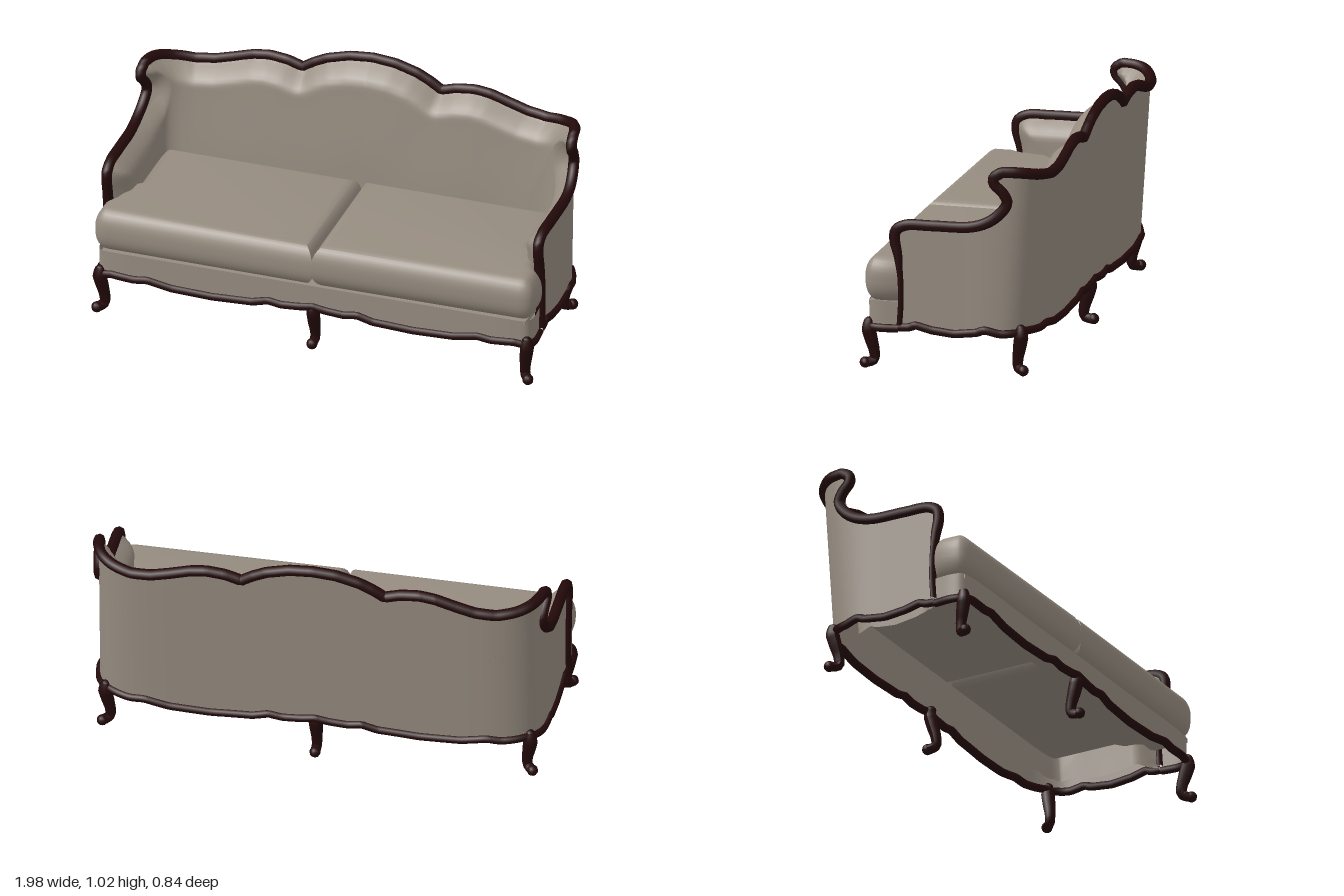
import * as THREE from 'three';
import { toCreasedNormals } from 'three/addons/utils/BufferGeometryUtils.js';

const V3 = (x, y, z) => new THREE.Vector3(x, y, z);
const smooth = (t) => THREE.MathUtils.smoothstep(t, 0, 1);

// Linear lookup in a table of [key, value] pairs
function lookup(table, k) {
  if (k <= table[0][0]) return table[0][1];
  for (let i = 1; i < table.length; i++) {
    const [a, va] = table[i - 1], [b, vb] = table[i];
    if (k <= b) return va + (vb - va) * (k - a) / (b - a);
  }
  return table[table.length - 1][1];
}

// Floor-plan path: at(L, y, inset) gives a point at distance L along it, leaning back with height
function planPath(pts) {
  const curve = new THREE.CatmullRomCurve3(pts.map(([x, z]) => V3(x, 0, z)), false, 'centripetal');
  curve.arcLengthDivisions = 500;
  const len = curve.getLength();
  const at = (L, y, inset = 0) => {
    const u = THREE.MathUtils.clamp(L / len, 0, 1);
    const p = curve.getPointAt(u), t = curve.getTangentAt(u);
    const lean = 0.066 * (y - 0.2) * smooth((-p.z - 0.08) / 0.2);
    return V3(p.x + t.z * inset, y, p.z - t.x * inset - lean);
  };
  return { len, at };
}

// Grid surface from fn(i, j); flip reverses the facing, side mirrors x
function grid(nu, nv, fn, flip, side) {
  const pos = [], idx = [];
  for (let j = 0; j <= nv; j++) for (let i = 0; i <= nu; i++) {
    const p = fn(i, j);
    pos.push(p.x * side, p.y, p.z);
  }
  const reverse = flip !== (side < 0);
  for (let j = 0; j < nv; j++) for (let i = 0; i < nu; i++) {
    const a = j * (nu + 1) + i, b = a + 1, c = a + nu + 1, d = c + 1;
    if (reverse) idx.push(a, c, b, b, c, d);
    else idx.push(a, b, c, b, d, c);
  }
  const g = new THREE.BufferGeometry();
  g.setAttribute('position', new THREE.Float32BufferAttribute(pos, 3));
  g.setIndex(idx);
  g.computeVertexNormals();
  return g;
}

// Tube through half a path, mirrored to the other side; the half must end at x = 0
function mirroredTube(half, radius, segments) {
  const other = half.slice(0, -1).reverse().map((p) => V3(-p.x, p.y, p.z));
  return new THREE.TubeGeometry(new THREE.CatmullRomCurve3([...half, ...other]), segments, radius, 8);
}

// Tube whose rings are scaled to the given radii
function taperedTube(points, radii) {
  const curve = new THREE.CatmullRomCurve3(points), n = 20, sides = 8;
  const g = new THREE.TubeGeometry(curve, n, 1, sides);
  const pos = g.attributes.position, v = V3();
  for (let i = 0; i <= n; i++) {
    const c = curve.getPointAt(i / n);
    const r = lookup(radii.map((q, k) => [k / (radii.length - 1), q]), i / n);
    for (let k = 0; k <= sides; k++) {
      const m = i * (sides + 1) + k;
      v.fromBufferAttribute(pos, m).sub(c).multiplyScalar(r).add(c);
      pos.setXYZ(m, v.x, v.y, v.z);
    }
  }
  g.computeVertexNormals();
  return g;
}

export function createModel() {
  const model = new THREE.Group();
  const fabric = new THREE.MeshStandardMaterial({ color: 0x968c80, side: THREE.DoubleSide });
  fabric.name = 'beige fabric';
  const wood = new THREE.MeshStandardMaterial({ color: 0x24090a });
  wood.name = 'dark wood';
  const add = (name, geometry, material) => {
    const mesh = new THREE.Mesh(geometry, material);
    mesh.name = name;
    model.add(mesh);
    return mesh;
  };

  // Plan of the shell: left arm, rounded corner, centre of the back
  const shell = planPath([[0.967, 0.3], [0.967, 0], [0.965, -0.16], [0.942, -0.24], [0.885, -0.296],
    [0.78, -0.332], [0.3, -0.34], [0, -0.344]]);
  // Plan of the seat front: centre to the left side
  const front = planPath([[0, 0.39], [0.4, 0.387], [0.9, 0.385], [0.958, 0.372], [0.972, 0.33], [0.967, 0.245]]);

  // Crest height and scalloped lower edge
  const crest = [[0, 0.992], [0.1, 0.984], [0.2, 0.957], [0.26, 0.928], [0.31, 0.897], [0.38, 0.918], [0.46, 0.926],
    [0.53, 0.917], [0.62, 0.89], [0.7, 0.868], [0.79, 0.86], [0.88, 0.874], [0.95, 0.893]];
  const scallop = [[0, 0.2], [0.06, 0.19], [0.14, 0.184], [0.2, 0.193], [0.27, 0.174], [0.45, 0.165],
    [0.63, 0.172], [0.74, 0.192], [0.8, 0.184], [0.9, 0.19], [0.95, 0.182], [0.97, 0.18]];
  const sideScallop = [[0.05, 0.186], [0.1, 0.188], [0.13, 0.2], [0.2, 0.183], [0.3, 0.173],
    [0.4, 0.186], [0.43, 0.2], [0.5, 0.183], [0.6, 0.186]];
  const top = (L) => lookup(crest, shell.at(L, 0.2).x);
  const bottom = (L) => (L < 0.6 ? lookup(sideScallop, L) : lookup(scallop, shell.at(L, 0.2).x));

  // Front edge of arm and wing, as (distance along plan, height)
  const edge = new THREE.CatmullRomCurve3([[0.06, 0.2], [0.066, 0.3], [0.064, 0.4], [0.052, 0.5], [0.038, 0.57],
    [0.044, 0.61], [0.085, 0.635], [0.2, 0.64], [0.37, 0.646], [0.435, 0.668], [0.48, 0.708], [0.505, 0.76],
    [0.488, 0.805], [0.46, 0.84], [0.458, 0.868], [0.485, 0.893]].map(([l, y]) => V3(l, y, 0)), false, 'centripetal');
  const rows = edge.getSpacedPoints(70);
  const rim = rows.slice();
  for (let i = 1; i <= 80; i++) {
    const L = 0.485 + (shell.len - 0.485) * i / 80;
    rim.push(V3(L, top(L), 0));
  }

  // Upholstered shell: outer wall, and an inner face padded away from the rim
  const columns = 80;
  const shellPoint = (padded) => (i, j) => {
    const { x: start, y: Y } = rows[j], s = i / columns;
    const L = 0.06 + (shell.len - 0.06) * s + (start - 0.06) * Math.pow(1 - s, 2.5);
    const y = Y + (top(L) - 0.893) * smooth((Y - 0.64) / 0.253)
      + (bottom(L) - 0.2) * (1 - smooth((Y - 0.2) / 0.12));
    if (!padded) return shell.at(L, y);
    let d = 1;
    for (const r of rim) d = Math.min(d, Math.hypot(r.x - L, r.y - y));
    const depth = 0.08 + 0.015 * smooth((L - 0.5) / 0.3);
    const pad = depth * Math.sin(Math.min(1, d / 0.09) * Math.PI / 2) + 0.02 * smooth(d / 0.45);
    return shell.at(L, y, pad);
  };
  for (const side of [1, -1]) {
    const name = side > 0 ? 'left' : 'right';
    add(name + 'OuterUpholstery', grid(columns, 70, shellPoint(false), false, side), fabric);
    add(name + 'InnerUpholstery', grid(columns, 70, shellPoint(true), true, side), fabric);
    // Seat front panel
    add(name + 'SeatFront', grid(90, 4, (i, j) => {
      const L = front.len * i / 90;
      const low = lookup(scallop, front.at(L, 0.2).x);
      return front.at(L, low + (0.295 - low) * j / 4);
    }, false, side), fabric);
  }
  const shelf = add('seatRail', new THREE.BoxGeometry(1.9, 0.02, 0.17), fabric);
  shelf.position.set(0, 0.283, 0.295);

  // Carved rail around arms, wings and crest, slimmer down the arm fronts
  const rail = mirroredTube(rim.map((p) => shell.at(p.x, p.y)), 0.024, 340);
  const rp = rail.attributes.position;
  for (let i = 0; i < rp.count; i++) {
    const y = rp.getY(i), z = rp.getZ(i);
    if (z < 0.15 || y > 0.57) continue;
    const mid = lookup([[0.2, 0.24], [0.3, 0.234], [0.4, 0.236], [0.5, 0.248], [0.57, 0.262]], y);
    const slim = 0.5 + 0.5 * smooth((y - 0.4) / 0.17);
    rp.setZ(i, mid + (z - mid) * slim);
  }
  add('carvedRail', rail, wood);

  // Scalloped lower trim
  const backTrim = [], frontTrim = [];
  for (let i = 0; i <= 80; i++) {
    const L = 0.055 + (shell.len - 0.055) * i / 80;
    backTrim.push(shell.at(L, bottom(L)));
    const p = front.at(front.len * (1 - i / 80), 0.2);
    p.y = lookup(scallop, p.x);
    frontTrim.push(p);
  }
  add('lowerTrimBack', mirroredTube(backTrim, 0.018, 240), wood);
  add('lowerTrimFront', mirroredTube(frontTrim, 0.018, 240), wood);

  // Seat cushions, wider in front of the arms and touching at the centre
  const cushionShape = (s) => {
    const outline = new THREE.Shape();
    outline.moveTo(-0.003 * s, 0.265);
    outline.lineTo(-0.003 * s, -0.405);
    outline.lineTo(0.92 * s, -0.4);
    outline.quadraticCurveTo(0.985 * s, -0.397, 0.985 * s, -0.345);
    outline.lineTo(0.985 * s, -0.265);
    outline.lineTo(0.955 * s, -0.215);
    outline.lineTo(0.95 * s, -0.1);
    outline.lineTo(0.895 * s, -0.06);
    outline.lineTo(0.895 * s, 0.265);
    const g = new THREE.ExtrudeGeometry(outline, { depth: 0.025, bevelEnabled: true, bevelSize: 0.06,
      bevelOffset: -0.06, bevelThickness: 0.086, bevelSegments: 7, curveSegments: 6 });
    g.rotateX(-Math.PI / 2);
    g.translate(0, 0.377, 0);
    return toCreasedNormals(g, 0.7);
  };
  add('leftCushion', cushionShape(1), fabric);
  add('rightCushion', cushionShape(-1), fabric);

  // Curved legs with scrolled feet, each turned outward
  const legShape = taperedTube([V3(0, 0.212, -0.004), V3(0, 0.18, 0), V3(0, 0.12, -0.014), V3(0, 0.07, -0.027),
    V3(0, 0.032, -0.026), V3(0, 0.023, 0.008)], [0.02, 0.031, 0.029, 0.025, 0.022, 0.022]);
  const toe = new THREE.SphereGeometry(0.024, 10, 8);
  const cap = new THREE.SphereGeometry(0.022, 10, 8);
  const addLeg = (name, x, z, angle) => {
    const leg = new THREE.Group();
    leg.name = name;
    const parts = [[legShape, 0, 0], [toe, 0.024, 0.014], [cap, 0.2, -0.004]];
    for (const [g, y, dz] of parts) {
      const m = new THREE.Mesh(g, wood);
      m.name = name + 'Part';
      m.position.set(0, y, dz);
      leg.add(m);
    }
    leg.position.set(x, 0, z);
    leg.rotation.y = angle;
    model.add(leg);
  };
  for (const s of [1, -1]) {
    const name = s > 0 ? 'left' : 'right';
    addLeg(name + 'FrontLeg', s * 0.958, 0.38, s * 0.6);
    addLeg(name + 'BackLeg', s * 0.92, -0.282, s * 2.4);
  }
  addLeg('centreFrontLeg', 0, 0.383, 0);
  addLeg('centreBackLeg', 0, -0.33, Math.PI);
  return model;
}
